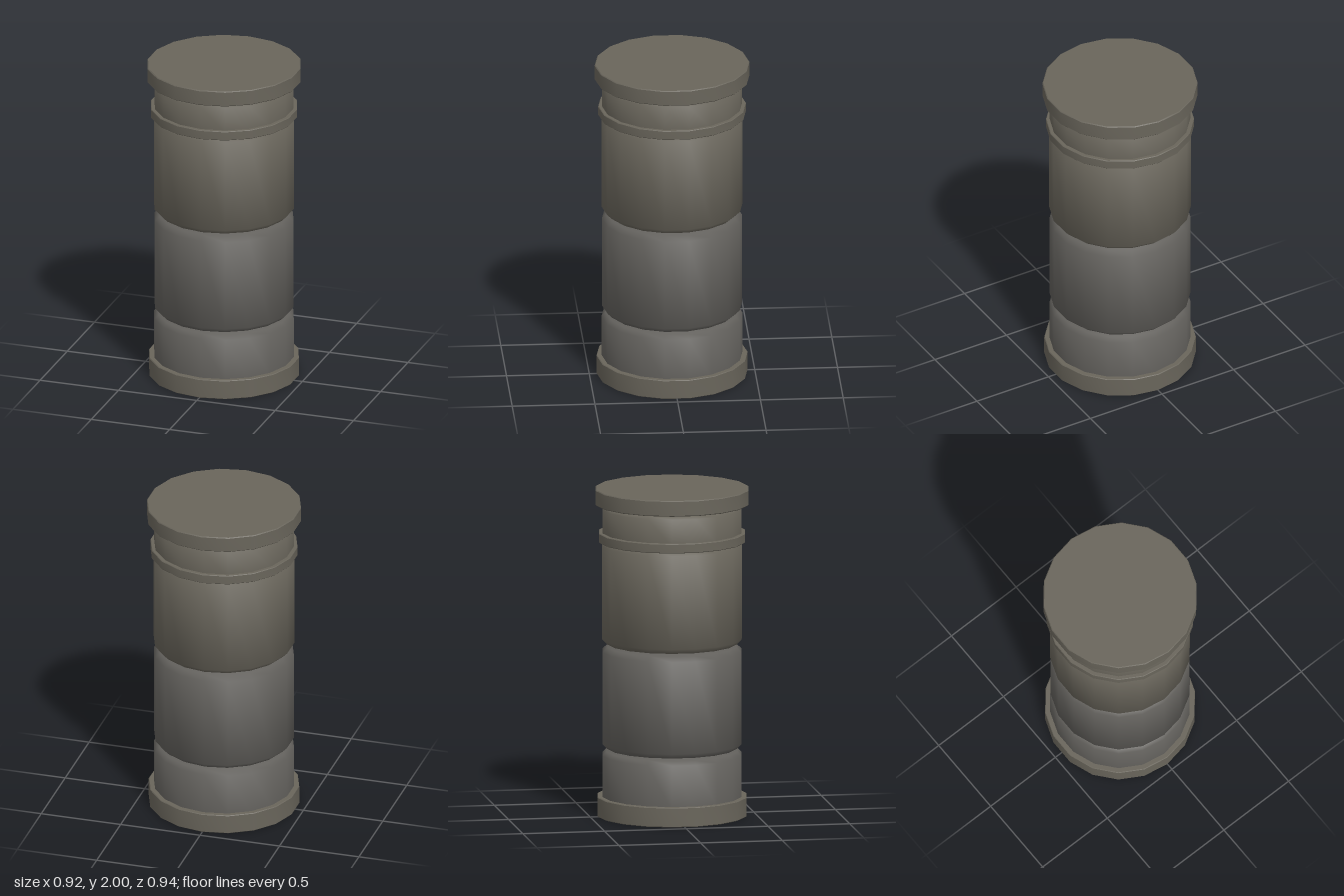
import * as THREE from 'three';
import { toCreasedNormals } from 'three/addons/utils/BufferGeometryUtils.js';

const SIDES = 18;
const warm = new THREE.MeshStandardMaterial({ color: 0x69655b });
const cool = new THREE.MeshStandardMaterial({ color: 0x62605c });

// Closed 18-sided disc or drum between y0 and y1, with bevelled bottom and top rims
function drum(name, y0, y1, r, bottom, top, crease, material) {
  const profile = [[0, y0], [r - bottom, y0]];
  if (bottom) profile.push([r, y0 + bottom]);
  if (top) profile.push([r, y1 - top]);
  profile.push([r - top, y1], [0, y1]);
  const lathe = new THREE.LatheGeometry(profile.map(([x, y]) => new THREE.Vector2(x, y)), SIDES);
  const mesh = new THREE.Mesh(toCreasedNormals(lathe, crease), material);
  mesh.name = name;
  return mesh;
}

export function createModel() {
  const column = new THREE.Group();
  column.name = 'column';
  const soft = 0.9, hard = 0.6;
  column.add(
    // Foot and the short drum rising from it
    drum('base', 0, 0.12, 0.457, 0.004, 0.004, hard, warm),
    drum('lowerDrum', 0.1, 0.397, 0.426, 0, 0.025, soft, cool),
    // Two tall drums, separated by narrow open joints
    drum('middleDrum', 0.412, 1.035, 0.424, 0.03, 0.03, soft, cool),
    drum('upperDrum', 1.053, 1.685, 0.427, 0.03, 0.03, soft, warm),
    // Collar ring, neck and cap
    drum('collar', 1.675, 1.733, 0.447, 0.004, 0.004, hard, warm),
    drum('neck', 1.715, 1.893, 0.424, 0, 0.016, soft, warm),
    drum('cap', 1.904, 2, 0.468, 0.005, 0.005, hard, warm)
  );
  return column;
}
